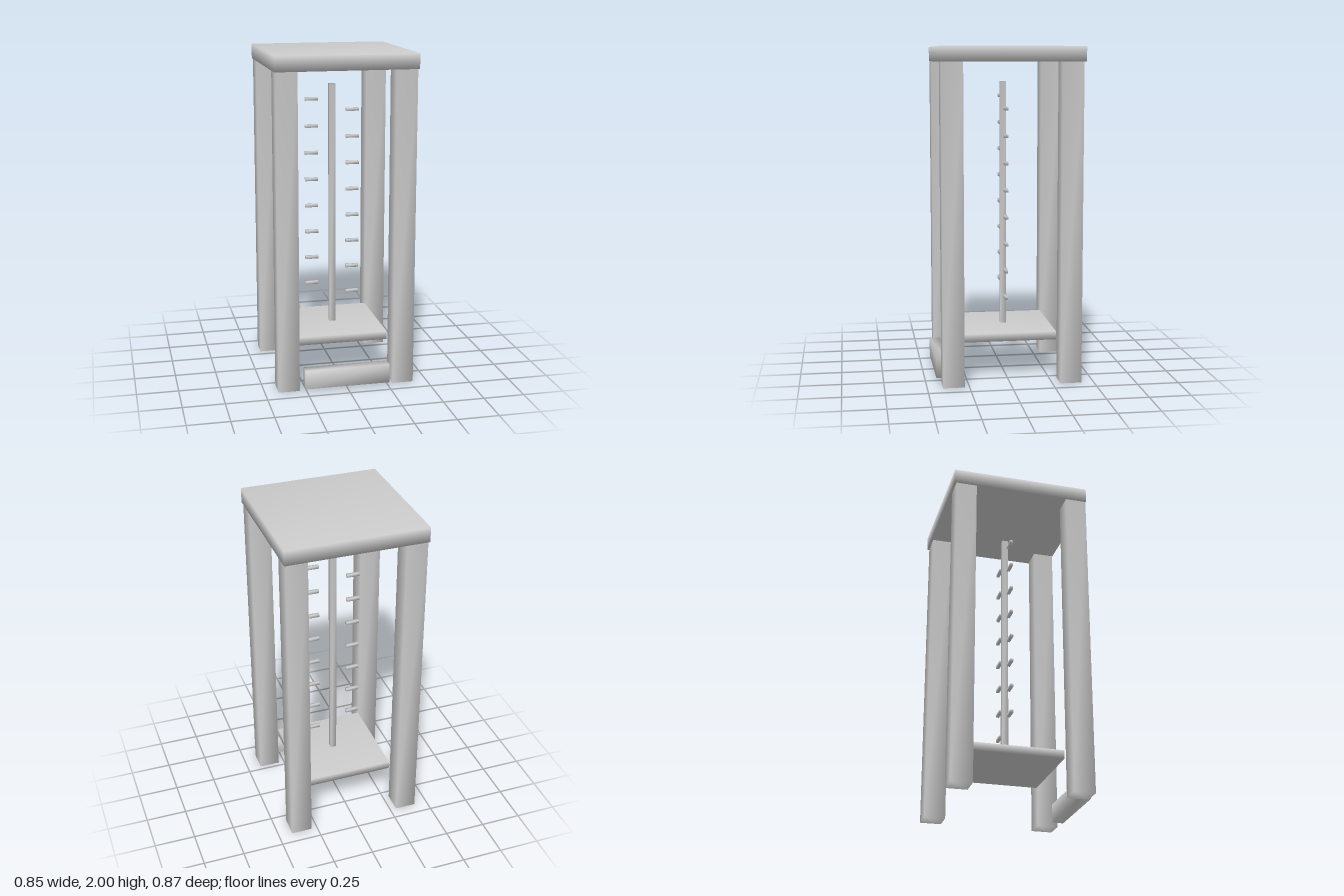
import * as THREE from 'three';
import { mergeVertices } from 'three/addons/utils/BufferGeometryUtils.js';

const grey = new THREE.MeshStandardMaterial({ color: 0xcccccc });
grey.name = 'light grey';

// Box with shared corners, so that its normals blend softly over the edges
function softBox(name, size, position) {
  const box = new THREE.BoxGeometry(...size);
  box.deleteAttribute('normal');
  box.deleteAttribute('uv');
  const geometry = mergeVertices(box);
  geometry.computeVertexNormals();
  const mesh = new THREE.Mesh(geometry, grey);
  mesh.name = name;
  mesh.position.set(...position);
  return mesh;
}

export function createModel() {
  const model = new THREE.Group();
  model.name = 'tower';

  // Roof slab and lower shelf
  model.add(softBox('topPlate', [0.847, 0.09, 0.847], [0, 1.955, -0.0135]));
  model.add(softBox('lowerShelf', [0.567, 0.05, 0.567], [-0.001, 0.262, -0.01]));

  // Four corner legs
  for (const x of [-1, 1]) {
    for (const z of [-1, 1]) {
      const name = (z > 0 ? 'front' : 'back') + (x > 0 ? 'Left' : 'Right') + 'Leg';
      model.add(softBox(name, [0.128, 1.91, 0.128], [x * 0.352 - 0.002, 0.955, z * 0.352 - 0.009]));
    }
  }

  // Central pole standing on the shelf
  model.add(softBox('centrePole', [0.037, 1.53, 0.037], [-0.002, 1.025, -0.008]));

  // Two staggered columns of small rungs
  const rungs = new THREE.Group();
  rungs.name = 'rungs';
  for (let i = 0; i < 8; i++) {
    const y = 0.475 + i * 0.165;
    rungs.add(softBox('leftRung', [0.08, 0.019, 0.019], [0.126, y, -0.008]));
    rungs.add(softBox('rightRung', [0.08, 0.019, 0.019], [-0.13, y + 0.07, -0.008]));
  }
  model.add(rungs);

  // Low bar across the front
  model.add(softBox('frontBar', [0.518, 0.115, 0.068], [0, 0.075, 0.4]));
  return model;
}
